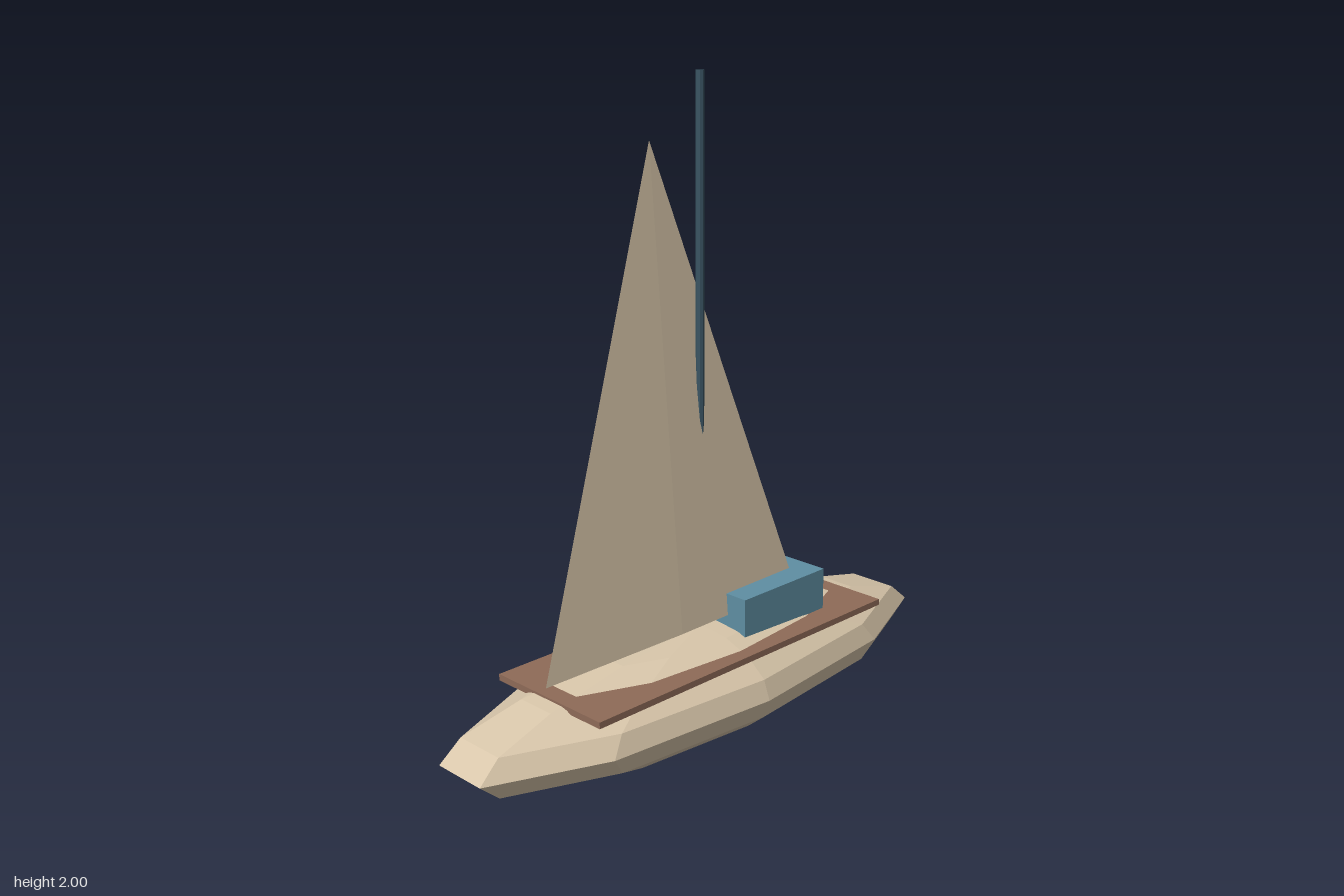
import * as THREE from 'three';

const paint = (color) => new THREE.MeshStandardMaterial({ color, flatShading: true });

export function createModel() {
  const boat = new THREE.Group();
  boat.name = 'sailboat';

  const add = (name, geometry, material, x, y, z) => {
    const mesh = new THREE.Mesh(geometry, material);
    mesh.name = name;
    mesh.position.set(x, y, z);
    boat.add(mesh);
    return mesh;
  };

  const cream = paint(0xd8c6aa);

  // Hull: faceted ball stretched along z
  const hull = new THREE.SphereGeometry(1, 10, 8).scale(0.293, 0.16, 0.98);
  add('hull', hull, cream, 0, 0.16, 0);

  // Deck board, pierced by the crown of the hull
  add('deck', new THREE.BoxGeometry(0.44, 0.02, 1.23), paint(0x8f6b58), 0, 0.275, 0);

  // Cabin towards the stern
  add('cabin', new THREE.BoxGeometry(0.27, 0.14, 0.37), paint(0x5f8fa3), 0, 0.35, -0.245);

  // Mast
  add('mast', new THREE.CylinderGeometry(0.013, 0.013, 1.7, 8), paint(0x3a5563), 0, 1.15, 0);

  // Sail: four-sided cone flattened to a thin blade, leaning towards -x
  const sail = new THREE.ConeGeometry(1, 1.465, 4).scale(0.01, 1, 0.525);
  add('sail', sail, cream, -0.002, 1.08, 0.142).rotation.z = 0.08;

  return boat;
}
